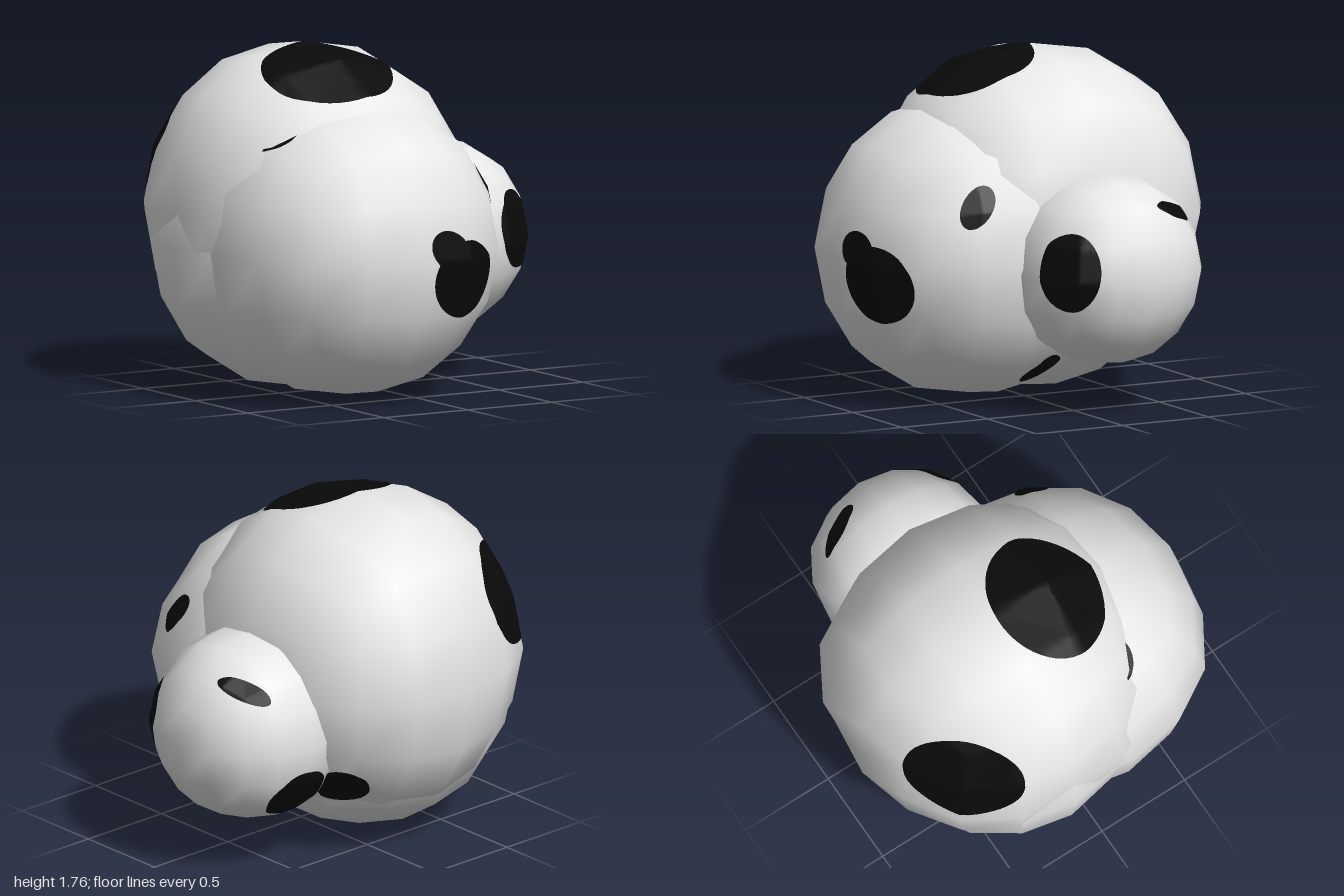
import * as THREE from 'three';
import { mergeVertices } from 'three/addons/utils/BufferGeometryUtils.js';

const V = (a) => new THREE.Vector3(...a);

// Rounded-cube rule: where each kind of grid corner (sorted |x|,|y|,|z|) moves, per grid value
const ROUND = {
  200: { 2: 0.878 },
  210: { 2: 0.82, 1: 0.351 },
  211: { 2: 0.764, 1: 0.326 },
  220: { 2: 0.643 },
  221: { 2: 0.599, 1: 0.302 },
  222: { 2: 0.509 },
};

// Cube of 4 x 4 faces per side, smoothed into a coarse ball; limit flattens its poles
function ballGeometry(radii, limit = [9, 9, 9]) {
  let geo = new THREE.BoxGeometry(4, 4, 4, 4, 4, 4);
  geo.deleteAttribute('uv');
  geo.deleteAttribute('normal');
  geo.clearGroups();
  geo = mergeVertices(geo);
  const pos = geo.attributes.position;
  for (let i = 0; i < pos.count; i++) {
    const g = [pos.getX(i), pos.getY(i), pos.getZ(i)].map(Math.round);
    const rule = ROUND[g.map(Math.abs).sort((a, b) => b - a).join('')];
    const p = g.map((c, k) => {
      const size = ((rule[Math.abs(c)] || 0) / 0.878) * radii[k];
      return Math.sign(c) * Math.min(size, limit[k]);
    });
    pos.setXYZ(i, ...p);
  }
  geo.computeVertexNormals();
  return geo;
}

// Thin oval patch laid on a ball: centre direction, long axis, half length, half width
function spotGeometry(ball, [at, along, length, width]) {
  const RINGS = 14, SEGS = 44;
  const ray = new THREE.Raycaster();
  const d = V(at).normalize();
  const reach = V(at).length();
  const u = V(along).addScaledVector(d, -V(along).dot(d)).normalize();
  const v = new THREE.Vector3().crossVectors(d, u);
  const points = [], index = [];
  for (let r = 0; r <= RINGS; r++) {
    for (let s = 0; s < SEGS; s++) {
      const a = (s / SEGS) * Math.PI * 2, k = r / RINGS;
      const dir = d.clone().multiplyScalar(reach)
        .addScaledVector(u, Math.cos(a) * k * length)
        .addScaledVector(v, Math.sin(a) * k * width).normalize();
      ray.set(dir.clone().multiplyScalar(3), dir.clone().negate());
      const hit = ray.intersectObject(ball, false)[0];
      const p = hit ? hit.point : dir.clone().multiplyScalar(reach);
      points.push(...p.addScaledVector(dir, 0.006).toArray());
      if (r < RINGS) {
        const i = r * SEGS + s, j = r * SEGS + ((s + 1) % SEGS);
        index.push(i, i + SEGS, j + SEGS);
        if (r > 0) index.push(i, j + SEGS, j);
      }
    }
  }
  const geo = new THREE.BufferGeometry();
  geo.setAttribute('position', new THREE.Float32BufferAttribute(points, 3));
  geo.setIndex(index);
  geo.computeVertexNormals();
  return geo;
}

// Spots are placed relative to the centre of their ball
const BALLS = [
  {
    name: 'frontBall', center: [-0.23, 0.76, 0.2], radii: [0.765, 0.76, 0.77],
    spots: [
      [[0.29, -0.11, 0.7], [1, -0.2, 0], 0.235, 0.205],
      [[0.17, 0.05, 0.74], [1, -0.4, 0], 0.13, 0.1],
      [[0.65, 0.32, 0.31], [0, 1, -0.65], 0.13, 0.08],
      [[-0.46, 0.6, 0.06], [1, 0, 0.8], 0.14, 0.12],
      [[0.45, -0.57, -0.15], [0, 1, 0], 0.13, 0.09],
    ],
  },
  {
    name: 'backBall', center: [-0.245, 0.92, -0.17], radii: [0.81, 0.84, 0.84], limit: [0.757, 9, 0.81],
    skew: 0.1,
    spots: [
      [[-0.05, 0.76, 0.31], [1, 0, 0], 0.37, 0.33],
      [[-0.54, 0.33, -0.54], [1, 0, -1], 0.345, 0.29],
      [[0.5, -0.49, -0.43], [0, 0.6, -1], 0.14, 0.13],
    ],
  },
  {
    name: 'lowerBall', center: [-0.28, 0.76, -0.17], radii: [0.75, 0.76, 0.72],
    spots: [[[0.53, -0.33, -0.43], [0, 0.6, -1], 0.15, 0.13]],
  },
  {
    name: 'smallBall', center: [0.51, 0.717, -0.175], radii: [0.49, 0.485, 0.485],
    spots: [
      [[0.29, 0.05, 0.37], [0, 1, 0], 0.21, 0.175],
      [[0.27, 0.32, -0.26], [0.16, 0.11, 0.25], 0.155, 0.055],
      [[0.02, -0.295, -0.387], [0, 1, 0], 0.19, 0.18],
    ],
  },
];

export function createModel() {
  const white = new THREE.MeshStandardMaterial({ color: 0xe7e7e7 });
  white.name = 'paleGrey';
  const black = new THREE.MeshStandardMaterial({ color: 0x0a0a0a });
  black.name = 'black';

  const model = new THREE.Group();
  model.name = 'spottedBallCluster';
  for (const { name, center, radii, limit, skew = 0, spots } of BALLS) {
    const group = new THREE.Group();
    group.name = name;
    const geo = ballGeometry(radii, limit);
    // Slightly deeper towards the +x side
    if (skew) {
      const pos = geo.attributes.position;
      for (let i = 0; i < pos.count; i++) pos.setZ(i, pos.getZ(i) * (1 + skew * pos.getX(i)));
      geo.computeVertexNormals();
    }
    const ball = new THREE.Mesh(geo, white);
    ball.name = name + 'Body';
    group.add(ball);
    spots.forEach((spec, i) => {
      const spot = new THREE.Mesh(spotGeometry(ball, spec), black);
      spot.name = `${name}Spot${i + 1}`;
      group.add(spot);
    });
    group.position.set(...center);
    model.add(group);
  }
  return model;
}
